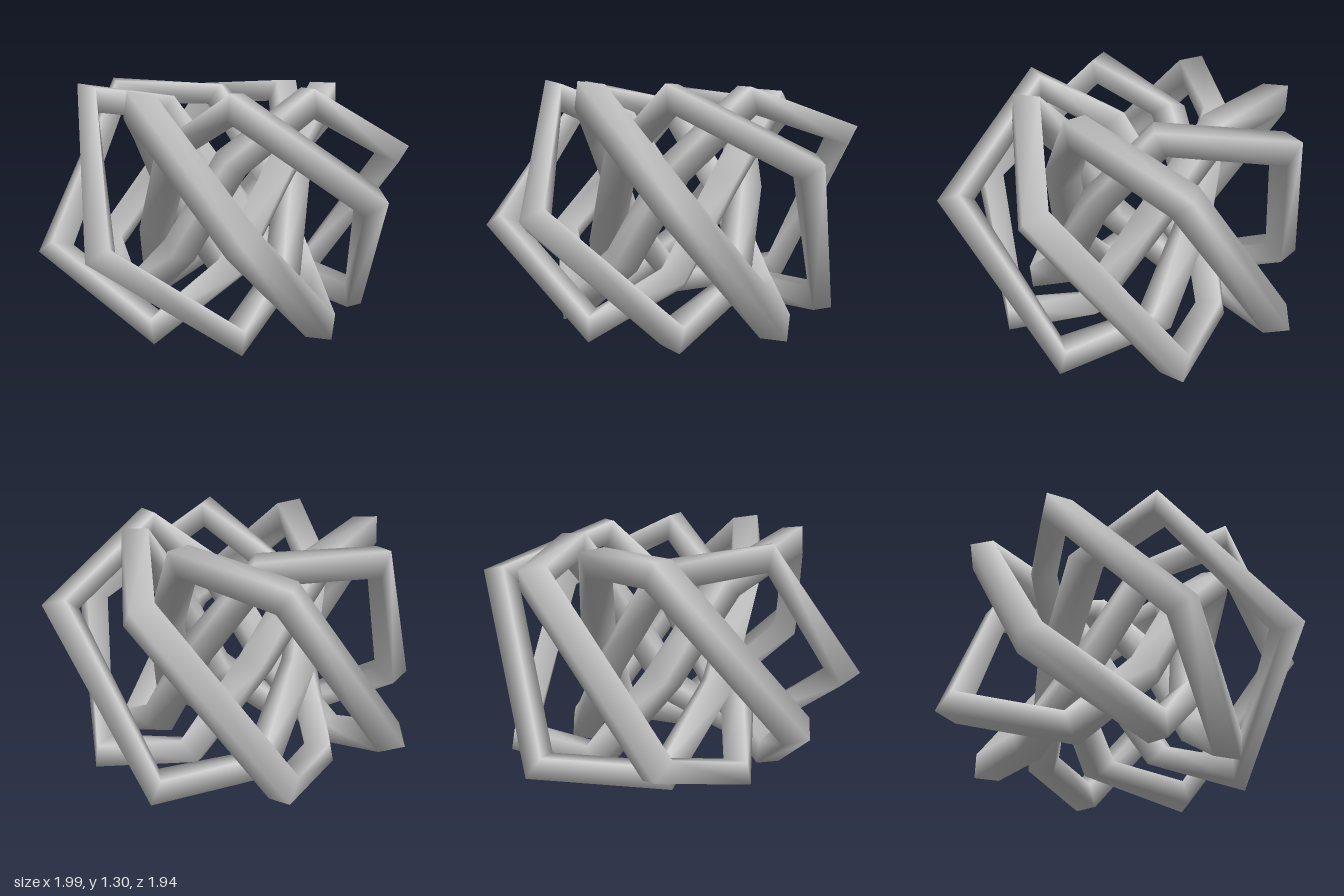
import * as THREE from 'three';

const TURNS = 5, WAVES = 7;          // windings round the axis / through the hole
const RINGS = 40, SIDES = 4;         // coarse steps along and around the tube
const TUBE = 0.095;

// Upper half of the winding's cross-section, [radius, height] at every tenth of a wave
const HALF = [[0.92, 0], [0.845, 0.462], [0.578, 0.575], [0.48, 0.5], [0.37, 0.27], [0.375, 0]];
const LOWER = HALF.slice(1, -1).reverse().map(([r, y]) => [r, -y]);
const winding = new THREE.CatmullRomCurve3(
  [...HALF, ...LOWER].map(([r, y]) => new THREE.Vector3(r, y, 0)), true, 'catmullrom', 0.5);

// Point on the knot's centre line, s running from 0 to 1
function knotPoint(s) {
  const angle = s * TURNS * Math.PI * 2;
  const { x: r, y } = winding.getPoint(THREE.MathUtils.euclideanModulo(-s * WAVES, 1));
  return new THREE.Vector3(r * Math.sin(angle), y, r * Math.cos(angle));
}

// Rings set square to the curve, joined into one closed tube
function knotGeometry() {
  const positions = [], indices = [];
  for (let i = 0; i < RINGS; i++) {
    const s = i / RINGS;
    const p = knotPoint(s);
    const tangent = knotPoint(s + 1e-4).sub(knotPoint(s - 1e-4)).normalize();
    const side = new THREE.Vector3().crossVectors(tangent, p).normalize();
    const out = new THREE.Vector3().crossVectors(side, tangent).normalize();
    for (let j = 0; j < SIDES; j++) {
      const v = (j / SIDES) * Math.PI * 2;
      const q = p.clone()
        .addScaledVector(out, -TUBE * Math.cos(v))
        .addScaledVector(side, TUBE * Math.sin(v));
      positions.push(q.x, q.y, q.z);

      const i2 = (i + 1) % RINGS, j2 = (j + 1) % SIDES;
      const a = i * SIDES + j, b = i2 * SIDES + j;
      const c = i2 * SIDES + j2, d = i * SIDES + j2;
      indices.push(a, b, d, b, c, d);
    }
  }
  const geometry = new THREE.BufferGeometry();
  geometry.setAttribute('position', new THREE.Float32BufferAttribute(positions, 3));
  geometry.setIndex(indices);
  geometry.computeVertexNormals();
  return geometry;
}

export function createModel() {
  const group = new THREE.Group();
  group.name = 'torusKnot';
  const geometry = knotGeometry();

  // Stand on the ground and centre over the origin
  geometry.computeBoundingBox();
  const box = geometry.boundingBox;
  const centre = box.getCenter(new THREE.Vector3());
  geometry.translate(-centre.x, -box.min.y, -centre.z);

  const knot = new THREE.Mesh(geometry, new THREE.MeshStandardMaterial({ color: 0xcccccc }));
  knot.name = 'knotTube';
  group.add(knot);
  return group;
}
